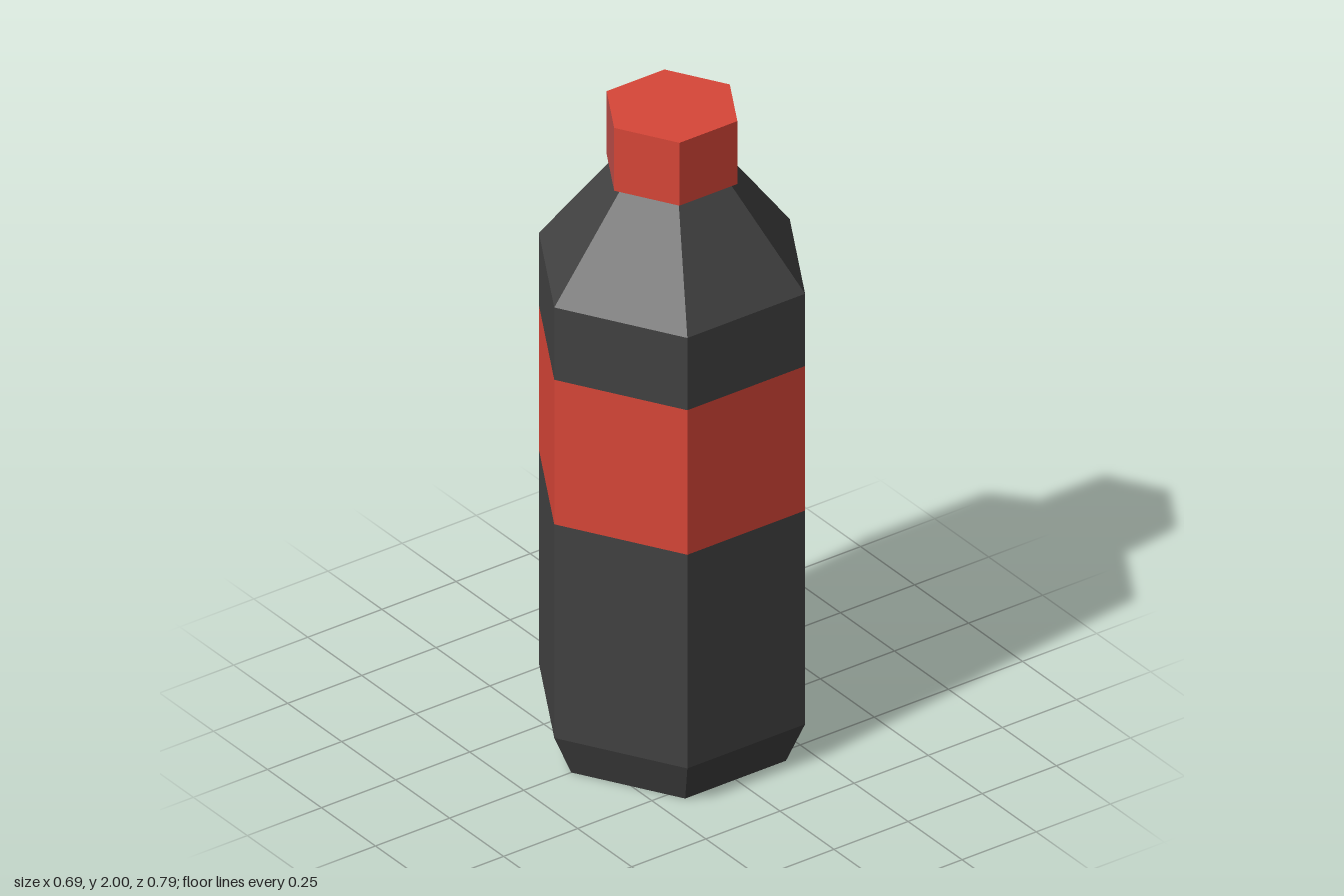
import * as THREE from 'three';

const SIDES = 6;
const STEP = (Math.PI * 2) / SIDES;

export function createModel() {
  const model = new THREE.Group();
  model.name = 'bottle';

  const makeMaterial = (name, color) => {
    const material = new THREE.MeshStandardMaterial({ color });
    material.name = name;
    return material;
  };
  const charcoal = makeMaterial('charcoal', 0x424242);
  const red = makeMaterial('red', 0xd84638);
  const dullRed = makeMaterial('dull red', 0xbc4d48);

  // Split the faces so every facet is flat
  const faceted = (geometry) => {
    const flat = geometry.toNonIndexed();
    flat.computeVertexNormals();
    return flat;
  };
  const add = (name, geometry, material) => {
    const mesh = new THREE.Mesh(geometry, material);
    mesh.name = name;
    model.add(mesh);
  };
  // Hexagonal section between two heights, with corners on the z axis
  const section = (y0, r0, y1, r1, open = true) =>
    faceted(new THREE.CylinderGeometry(r1, r0, y1 - y0, SIDES, 1, open).translate(0, (y0 + y1) / 2, 0));

  // Body, stacked from bottom to neck
  const R = 0.397;
  add('bottomChamfer', section(0, 0.34, 0.13, R), charcoal);
  add('lowerBody', section(0.13, R, 0.81, R), charcoal);
  add('labelBand', section(0.81, R, 1.27, R), red);
  add('upperBody', section(1.27, R, 1.5, R), charcoal);
  add('shoulder', section(1.5, R, 1.8, 0.17), charcoal);

  // Underside
  const base = new THREE.CircleGeometry(0.34, SIDES, Math.PI / 2).rotateX(Math.PI / 2);
  add('base', faceted(base), charcoal);

  // Screw cap, with two opposite facets in a duller red
  const cap = section(1.8, 0.195, 2, 0.195, false);
  cap.clearGroups();
  for (let i = 0; i < SIDES; i++) cap.addGroup(i * 6, 6, i % 3 === 2 ? 1 : 0);
  cap.addGroup(SIDES * 6, SIDES * 6, 0);
  add('cap', cap, [red, dullRed]);

  return model;
}
